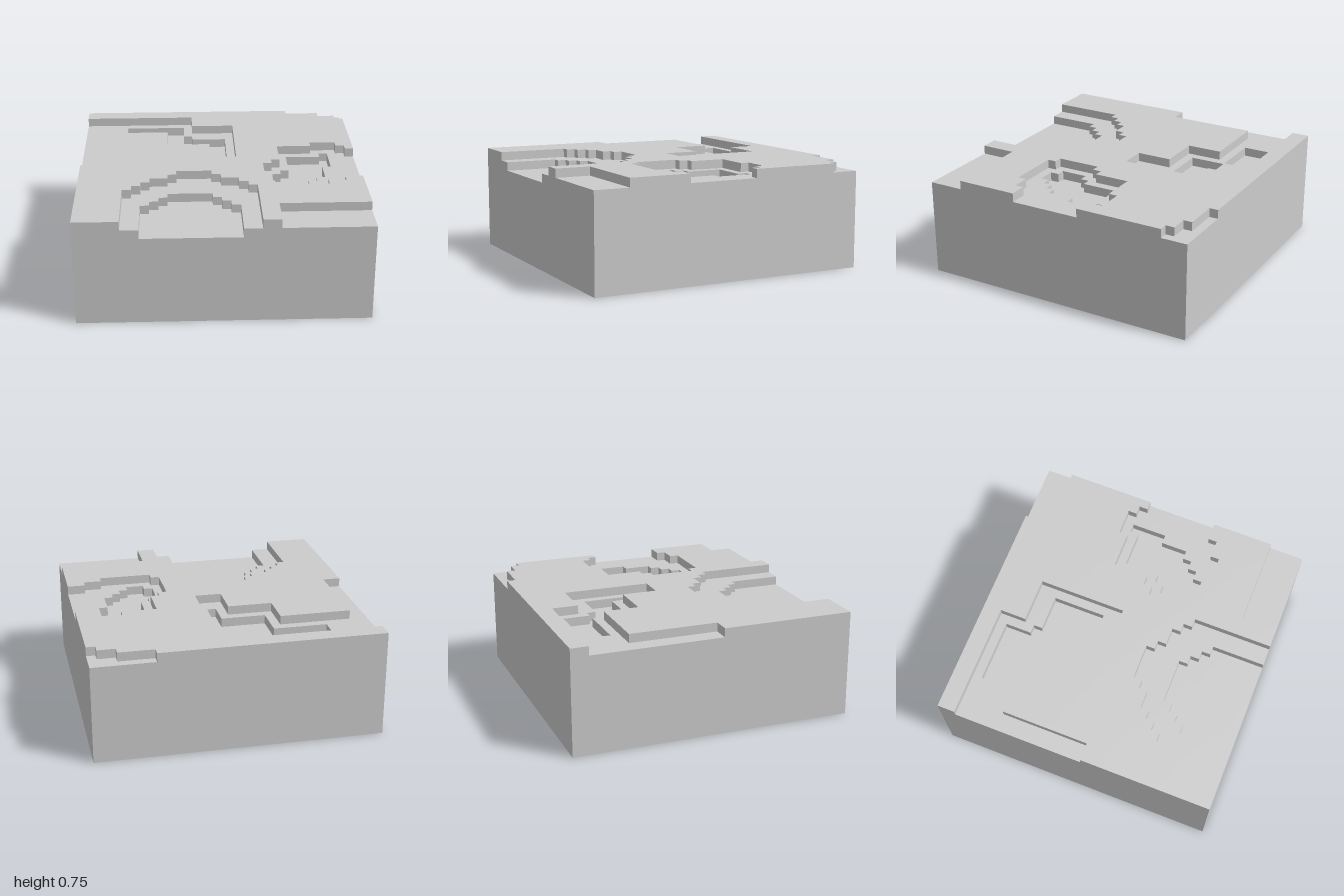
import * as THREE from 'three';

const N = 32;          // cells per side
const CELL = 2 / N;    // cell size, also the height of one terrace step
const TOP = 12;        // plateau height in cells

// Sunken areas as cell rectangles [x0, x1, z0, z1]; every one digs one step down,
// so a bed lying inside a basin ends up two steps deep.
const basins = {
  windingChannel: [[0, 13, 2, 5], [0, 18, 5, 7], [0, 2, 7, 17], [10, 18, 7, 11], [15, 18, 11, 15]],
  windingChannelBed: [[5, 12, 3, 6], [11, 13, 6, 7], [11, 17, 7, 10], [16, 17, 10, 13]],
  pond: [[27, 30, 11, 12], [23, 31, 12, 13], [23, 32, 13, 16], [22, 32, 16, 17],
    [21, 32, 17, 21], [21, 30, 21, 22], [22, 28, 22, 23]],
  pondBed: [[28, 29, 12, 13], [24, 29, 13, 16], [24, 28, 16, 17], [23, 28, 17, 18],
    [22, 28, 18, 19], [22, 27, 19, 20], [22, 26, 20, 21], [23, 25, 21, 22]],
  bay: [[11, 15, 19, 20], [10, 16, 20, 21], [8, 18, 21, 22], [7, 19, 22, 23], [6, 20, 23, 24], [5, 20, 24, 32]],
  bayBed: [[10, 15, 23, 24], [9, 16, 24, 25], [8, 17, 25, 26], [7, 18, 26, 32]],
  frontCorner: [[22, 32, 28, 32]],
  backCorner: [[25, 32, 0, 1], [29, 32, 1, 2], [31, 32, 2, 3]],
};

function buildHeights() {
  const heights = Array.from({ length: N }, () => new Array(N).fill(TOP));
  for (const rects of Object.values(basins))
    for (const [x0, x1, z0, z1] of rects)
      for (let z = z0; z < z1; z++)
        for (let x = x0; x < x1; x++) heights[z][x]--;
  return heights;
}

function terrainGeometry() {
  const heights = buildHeights();
  const heightAt = (x, z) => heights[z]?.[x] ?? 0;
  const positions = [];
  // Quad with corners counter-clockwise as seen from its front, in cell units
  const quad = (a, b, c, d) => {
    for (const [x, y, z] of [a, b, c, a, c, d])
      positions.push(x * CELL - 1, y * CELL, z * CELL - 1);
  };
  // Wall from p to q; it faces right of the direction p -> q seen from above
  const wall = (p, q, low, high) => {
    if (low < high)
      quad([p[0], low, p[1]], [q[0], low, q[1]], [q[0], high, q[1]], [p[0], high, p[1]]);
  };

  for (let z = 0; z < N; z++) {
    for (let x = 0; x < N; x++) {
      const h = heightAt(x, z);
      // Ground of this cell
      quad([x, h, z], [x, h, z + 1], [x + 1, h, z + 1], [x + 1, h, z]);
      // Steps down to lower neighbours, and the outer sides of the block
      wall([x, z + 1], [x + 1, z + 1], heightAt(x, z + 1), h);
      wall([x + 1, z], [x, z], heightAt(x, z - 1), h);
      wall([x + 1, z + 1], [x + 1, z], heightAt(x + 1, z), h);
      wall([x, z], [x, z + 1], heightAt(x - 1, z), h);
    }
  }
  // Underside
  quad([0, 0, 0], [N, 0, 0], [N, 0, N], [0, 0, N]);

  const geometry = new THREE.BufferGeometry();
  geometry.setAttribute('position', new THREE.Float32BufferAttribute(positions, 3));
  geometry.computeVertexNormals();
  return geometry;
}

export function createModel() {
  const group = new THREE.Group();
  group.name = 'terrainBlock';
  const material = new THREE.MeshStandardMaterial({ color: 0xcccccc, flatShading: true });
  const terrain = new THREE.Mesh(terrainGeometry(), material);
  terrain.name = 'terracedGround';
  group.add(terrain);
  return group;
}
